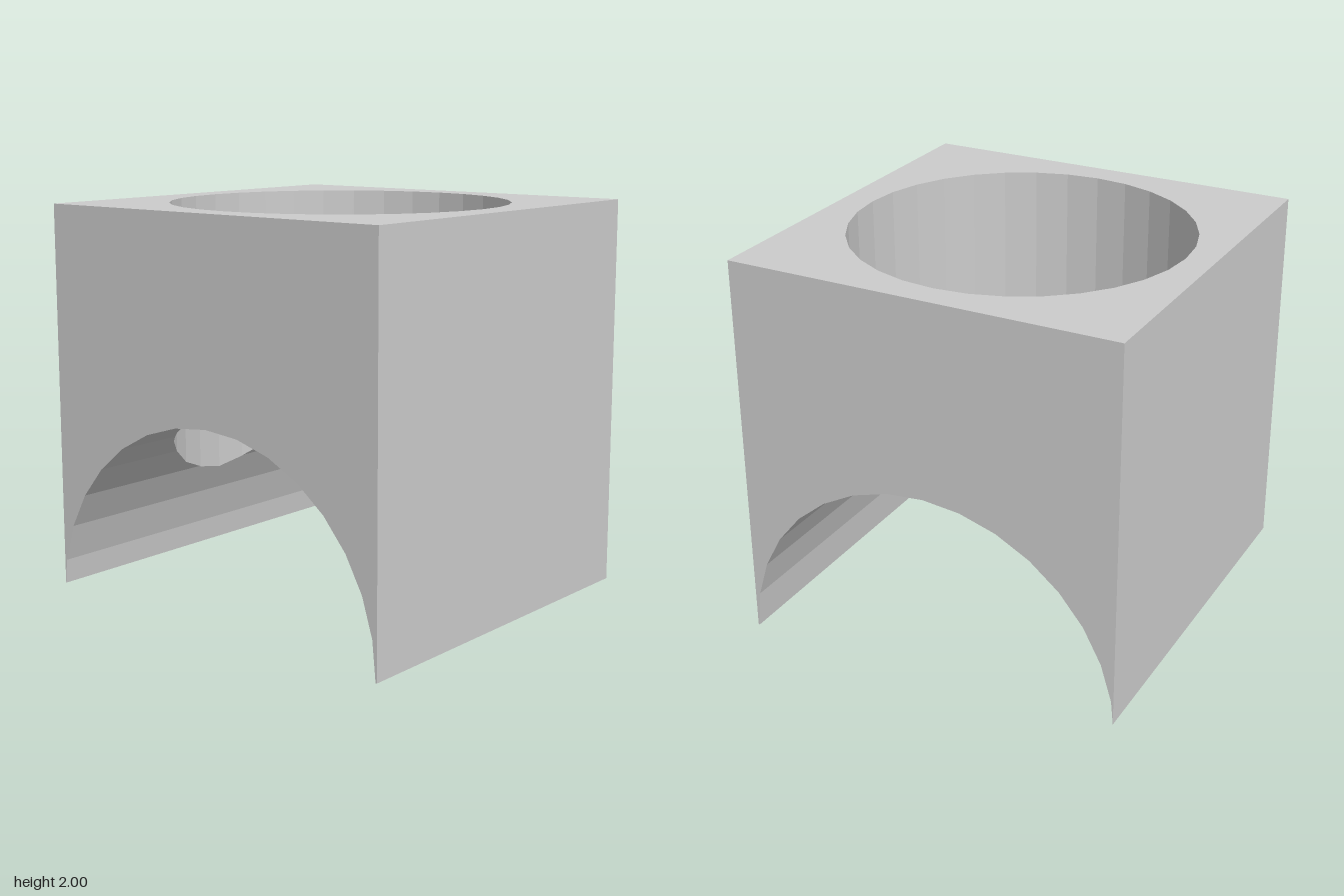
import * as THREE from 'three';

const SIDES = 32, STEP = (2 * Math.PI) / SIDES;
const CX = -0.007, CZ = -0.003;       // slight offset of both bores
const ARCH_R = 1, HOLE_R = 0.85, TOP = 2;

// Half height of a 32-sided polygon of radius r at position x
function chord(x, r) {
  const u = (x - CX) / r;
  if (Math.abs(u) >= 1) return 0;
  const k = Math.min(Math.floor(Math.acos(u) / STEP), SIDES / 2 - 1);
  const x0 = Math.cos(k * STEP), x1 = Math.cos((k + 1) * STEP);
  const t = (u - x0) / (x1 - x0);
  return r * THREE.MathUtils.lerp(Math.sin(k * STEP), Math.sin((k + 1) * STEP), t);
}

// Every x where the arch or the shaft has a facet edge
function facetEdges() {
  const xs = [-1, 1];
  for (let i = 0; i <= SIDES / 2; i++) {
    for (const r of [ARCH_R, HOLE_R]) xs.push(CX + r * Math.cos(i * STEP));
  }
  return xs.filter((x) => x >= -1 && x <= 1)
    .sort((a, b) => a - b)
    .filter((x, i, all) => i === 0 || x - all[i - 1] > 1e-6);
}

export function createModel() {
  const group = new THREE.Group();
  const material = new THREE.MeshStandardMaterial({ color: 0xcccccc, flatShading: true });
  const parts = { front: [], back: [], leftSide: [], rightSide: [], top: [], archUnderside: [], shaftWall: [] };

  // Corners run counter-clockwise as seen from outside
  const quad = (part, a, b, c, d) => parts[part].push(...[a, b, c, a, c, d].flat());

  // Slice the block into columns, each flat across its width
  const xs = facetEdges();
  for (let i = 0; i < xs.length - 1; i++) {
    const p = xs[i], q = xs[i + 1];
    const yp = chord(p, ARCH_R), yq = chord(q, ARCH_R);
    const hp = chord(p, HOLE_R), hq = chord(q, HOLE_R);

    quad('front', [p, yp, 1], [q, yq, 1], [q, TOP, 1], [p, TOP, 1]);
    quad('back', [q, yq, -1], [p, yp, -1], [p, TOP, -1], [q, TOP, -1]);

    // Top and arch on both sides of the shaft: [back z, front z] at p and q
    const bands = [
      [-1, CZ - hp, -1, CZ - hq],
      [CZ + hp, 1, CZ + hq, 1],
    ];
    for (const [pb, pf, qb, qf] of bands) {
      quad('top', [p, TOP, pf], [q, TOP, qf], [q, TOP, qb], [p, TOP, pb]);
      quad('archUnderside', [p, yp, pb], [q, yq, qb], [q, yq, qf], [p, yp, pf]);
    }

    // Shaft wall from the top down to the arch
    if (hp + hq > 1e-5) {
      quad('shaftWall', [p, yp, CZ - hp], [q, yq, CZ - hq], [q, TOP, CZ - hq], [p, TOP, CZ - hp]);
      quad('shaftWall', [q, yq, CZ + hq], [p, yp, CZ + hp], [p, TOP, CZ + hp], [q, TOP, CZ + hq]);
    }
  }

  // Outer side walls
  const low = chord(-1, ARCH_R);
  quad('leftSide', [1, 0, 1], [1, 0, -1], [1, TOP, -1], [1, TOP, 1]);
  quad('rightSide', [-1, low, -1], [-1, low, 1], [-1, TOP, 1], [-1, TOP, -1]);

  for (const [name, positions] of Object.entries(parts)) {
    const geometry = new THREE.BufferGeometry();
    geometry.setAttribute('position', new THREE.Float32BufferAttribute(positions, 3));
    geometry.computeVertexNormals();
    const mesh = new THREE.Mesh(geometry, material);
    mesh.name = name;
    group.add(mesh);
  }
  group.name = 'archedBlock';
  return group;
}
